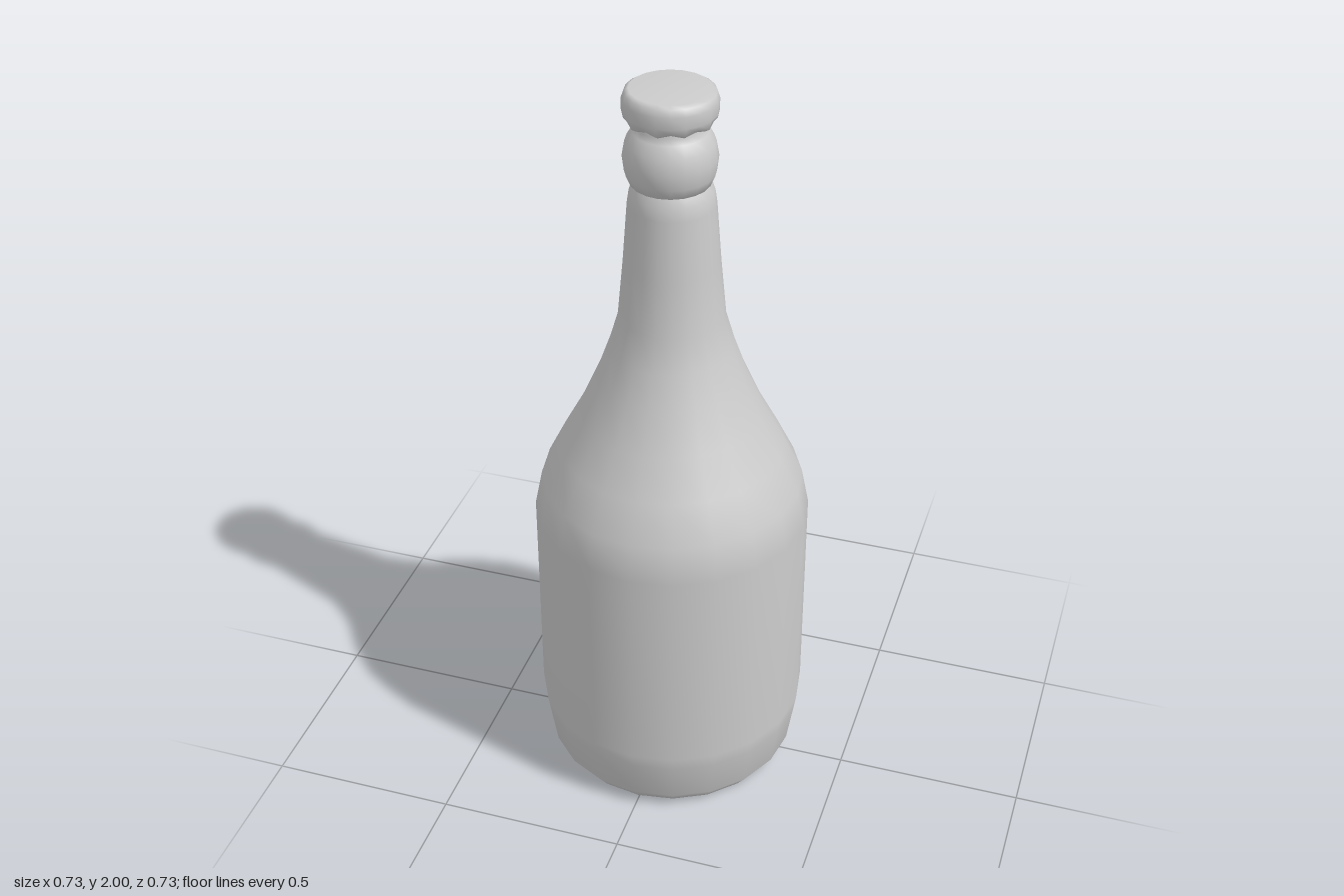
import * as THREE from 'three';

const SIDES = 20;
const material = new THREE.MeshStandardMaterial({ color: 0xcccccc });

// Revolves a list of [radius, height] points, listed from bottom to top
function turned(name, profile, x = 0) {
  const points = profile.map(([r, y]) => new THREE.Vector2(r, y));
  const mesh = new THREE.Mesh(new THREE.LatheGeometry(points, SIDES), material);
  mesh.name = name;
  mesh.position.x = x;
  return mesh;
}

export function createModel() {
  const bottle = new THREE.Group();
  bottle.name = 'bottle';

  // Hollow underside, rounded foot, straight wall and sloping shoulder
  bottle.add(turned('bottleBody', [
    [0, 0.09], [0.1, 0.08], [0.19, 0.05], [0.26, 0.012], [0.295, 0], [0.31, 0.005],
    [0.34, 0.045], [0.358, 0.16], [0.364, 0.2], [0.364, 0.8], [0.344, 0.9],
    [0.295, 1.0], [0.242, 1.1], [0.194, 1.21], [0.162, 1.3], [0.136, 1.39],
    [0.122, 1.54], [0.11, 1.7], [0.105, 1.735], [0.092, 1.76],
  ], -0.002));

  // Bulging ring below the mouth, with the lip running up into the cap
  bottle.add(turned('neckRing', [
    [0.085, 1.752], [0.1, 1.757], [0.112, 1.785], [0.117, 1.825], [0.11, 1.865],
    [0.094, 1.893], [0.084, 1.905], [0.084, 1.93],
  ], -0.006));

  // Crown cap with a lightly crimped skirt
  const cap = turned('crownCap', [
    [0.08, 1.92], [0.1, 1.915], [0.112, 1.922], [0.117, 1.945], [0.117, 1.975],
    [0.111, 1.993], [0.1, 2], [0, 2],
  ], -0.006);
  const p = cap.geometry.attributes.position;
  for (let i = 0; i < p.count; i++) {
    // Every second column of the skirt is pinched inwards
    const column = Math.floor(i / 8), row = i % 8;
    if (column % 2 && row >= 1 && row <= 2) {
      p.setXYZ(i, p.getX(i) * 0.95, p.getY(i) + 0.006, p.getZ(i) * 0.95);
    }
  }
  // Keep the normals continuous across the seam
  cap.geometry.computeVertexNormals();
  const n = cap.geometry.attributes.normal;
  const v = new THREE.Vector3(), w = new THREE.Vector3();
  for (let row = 0; row < 8; row++) {
    const last = SIDES * 8 + row;
    v.fromBufferAttribute(n, row).add(w.fromBufferAttribute(n, last)).normalize();
    n.setXYZ(row, v.x, v.y, v.z);
    n.setXYZ(last, v.x, v.y, v.z);
  }
  bottle.add(cap);

  return bottle;
}
